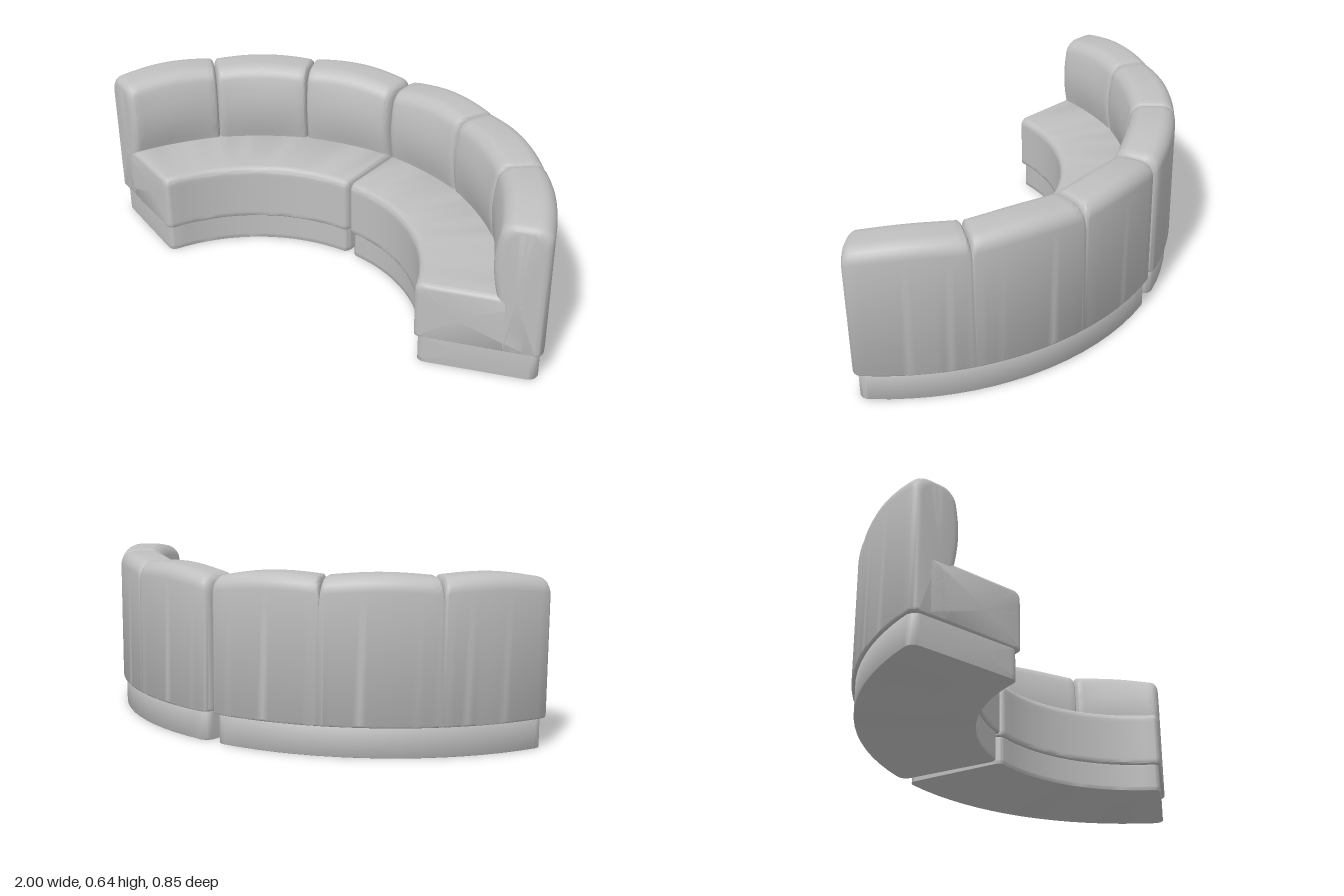
import * as THREE from 'three';
import { toCreasedNormals } from 'three/addons/utils/BufferGeometryUtils.js';

const CENTRE_Z = 0.648; // centre of the sofa's arc
const DEG = Math.PI / 180;

// Rounded box section in (radius, height), counter-clockwise; radii start at the inner bottom corner
function section(r0, r1, y0, y1, radii) {
  const corners = [[r0, y0, 1, 1], [r1, y0, -1, 1], [r1, y1, -1, -1], [r0, y1, 1, -1]];
  const pts = [];
  corners.forEach(([r, y, sr, sy], k) => {
    const rad = radii[k];
    for (let i = 0; i <= 6; i++) {
      const a = Math.PI + (k + i / 6) * Math.PI / 2;
      pts.push([r + sr * rad + rad * Math.cos(a), y + sy * rad + rad * Math.sin(a)]);
    }
  });
  // extra points down the inner face so it can bulge
  const top = pts[pts.length - 1], bottom = pts[0];
  for (let i = 1; i < 14; i++) {
    const t = i / 14;
    pts.push([top[0] + (bottom[0] - top[0]) * t, top[1] + (bottom[1] - top[1]) * t]);
  }
  return pts;
}

// Angular stations with finer steps at both rounded ends; f is the inset fraction there
function stations(a0, a1, w0, w1) {
  const list = [], n = 6, m = 16;
  const b0 = a0 + w0, b1 = a1 - w1;
  for (let i = 0; i < n; i++) {
    const p = i / n * Math.PI / 2;
    list.push({ a: a0 + w0 * (1 - Math.cos(p)), f0: 1 - Math.sin(p), f1: 0 });
  }
  for (let i = 0; i <= m; i++) list.push({ a: b0 + (b1 - b0) * i / m, f0: 0, f1: 0 });
  for (let i = n - 1; i >= 0; i--) {
    const p = i / n * Math.PI / 2;
    list.push({ a: a1 - w1 * (1 - Math.cos(p)), f0: 0, f1: 1 - Math.sin(p) });
  }
  list.forEach(s => { s.u = (s.a - a0) / (a1 - a0); });
  return list;
}

// Sweep a section around the arc and close both ends
function sweep(steps, sectionAt) {
  const pos = [], idx = [];
  const rings = steps.map(sectionAt), n = rings[0].length;
  const put = (r, y, a) => pos.push(r * Math.sin(a), y, CENTRE_Z - r * Math.cos(a));
  rings.forEach((ring, i) => ring.forEach(([r, y]) => put(r, y, steps[i].a)));
  for (let i = 0; i < rings.length - 1; i++) {
    for (let j = 0; j < n; j++) {
      const k = (j + 1) % n, a = i * n + j, b = i * n + k;
      idx.push(a, b, a + n, b, b + n, a + n);
    }
  }
  [0, rings.length - 1].forEach((i, end) => {
    const c = pos.length / 3;
    const mean = q => rings[i].reduce((s, p) => s + p[q], 0) / n;
    put(mean(0), mean(1), steps[i].a);
    for (let j = 0; j < n; j++) {
      const a = i * n + j, b = i * n + (j + 1) % n;
      if (end) idx.push(c, a, b); else idx.push(c, b, a);
    }
  });
  const g = new THREE.BufferGeometry();
  g.setAttribute('position', new THREE.Float32BufferAttribute(pos, 3));
  g.setIndex(idx);
  return toCreasedNormals(g, 45 * DEG);
}

// End shapes: angular width and how far each side draws in
const FREE_END = { w: 0.03, front: 0.028, top: 0.022, back: 0.03, bottom: 0.006 };
const SEAM = { w: 0.016, front: 0.026, top: 0.045, back: 0, bottom: 0 };
const PLINTH_END = { w: 0.035, front: 0.03, top: 0, back: 0.035, bottom: 0 };

function insets(s, e0, e1) {
  const at = key => s.f0 * e0[key] + s.f1 * e1[key];
  return { front: at('front'), top: at('top'), back: at('back'), bottom: at('bottom') };
}

function seatGeometry(a0, a1) {
  return sweep(stations(a0, a1, FREE_END.w, FREE_END.w), s => {
    const e = insets(s, FREE_END, FREE_END);
    return section(0.62 + e.front, 1.0, 0.11 + e.bottom, 0.333 - e.top, [0.008, 0.008, 0.01, 0.028]);
  });
}

function plinthGeometry(a0, a1) {
  return sweep(stations(a0, a1, PLINTH_END.w, PLINTH_END.w), s => {
    const e = insets(s, PLINTH_END, PLINTH_END);
    return section(0.633 + e.front, 1.06 - e.back, 0, 0.115, [0.002, 0.002, 0.002, 0.002]);
  });
}

function backGeometry(a0, a1, k) {
  const e0 = k === 0 ? FREE_END : SEAM, e1 = k === 2 ? FREE_END : SEAM;
  return sweep(stations(a0, a1, e0.w, e1.w), s => {
    const e = insets(s, e0, e1);
    const u = k === 2 ? 1 - s.u : s.u;
    const crown = Math.sin(Math.PI * s.u);
    // outer cushions slope down towards the ends of the module
    const height = k === 1 ? 0.63 + 0.013 * crown : 0.614 + 0.018 * u + 0.017 * crown;
    const top = height - e.top;
    const pts = section(0.905 + e.front, 1.073 - e.back, 0.11 + e.bottom, top, [0.008, 0.008, 0.055, 0.045]);
    // padded front face
    pts.forEach(p => {
      const t = Math.min(1, Math.max(0, (p[1] - 0.3) / (top - 0.3)));
      const w = Math.min(1, Math.max(0, (1.0 - p[0]) / 0.09));
      p[0] -= w * Math.sin(Math.PI * t) * (0.021 + 0.012 * crown);
    });
    return pts;
  });
}

export function createModel() {
  const sofa = new THREE.Group();
  sofa.name = 'curvedSofa';
  const upholstery = new THREE.MeshStandardMaterial({ color: 0xbfbfbf });
  upholstery.name = 'greyUpholstery';

  const add = (parent, geometry, name) => {
    const mesh = new THREE.Mesh(geometry, upholstery);
    mesh.name = name;
    parent.add(mesh);
  };

  // two matching modules, each a 70 degree arc
  [['rightModule', -70, -0.35], ['leftModule', 0.35, 70]].forEach(([name, d0, d1]) => {
    const module = new THREE.Group();
    module.name = name;
    const a0 = d0 * DEG, a1 = d1 * DEG, third = (a1 - a0) / 3;
    add(module, plinthGeometry(a0 + 0.013, a1 - 0.013), 'plinth');
    add(module, seatGeometry(a0, a1), 'seat');
    for (let k = 0; k < 3; k++) {
      add(module, backGeometry(a0 + k * third, a0 + (k + 1) * third, k), 'backCushion' + (k + 1));
    }
    sofa.add(module);
  });
  return sofa;
}
